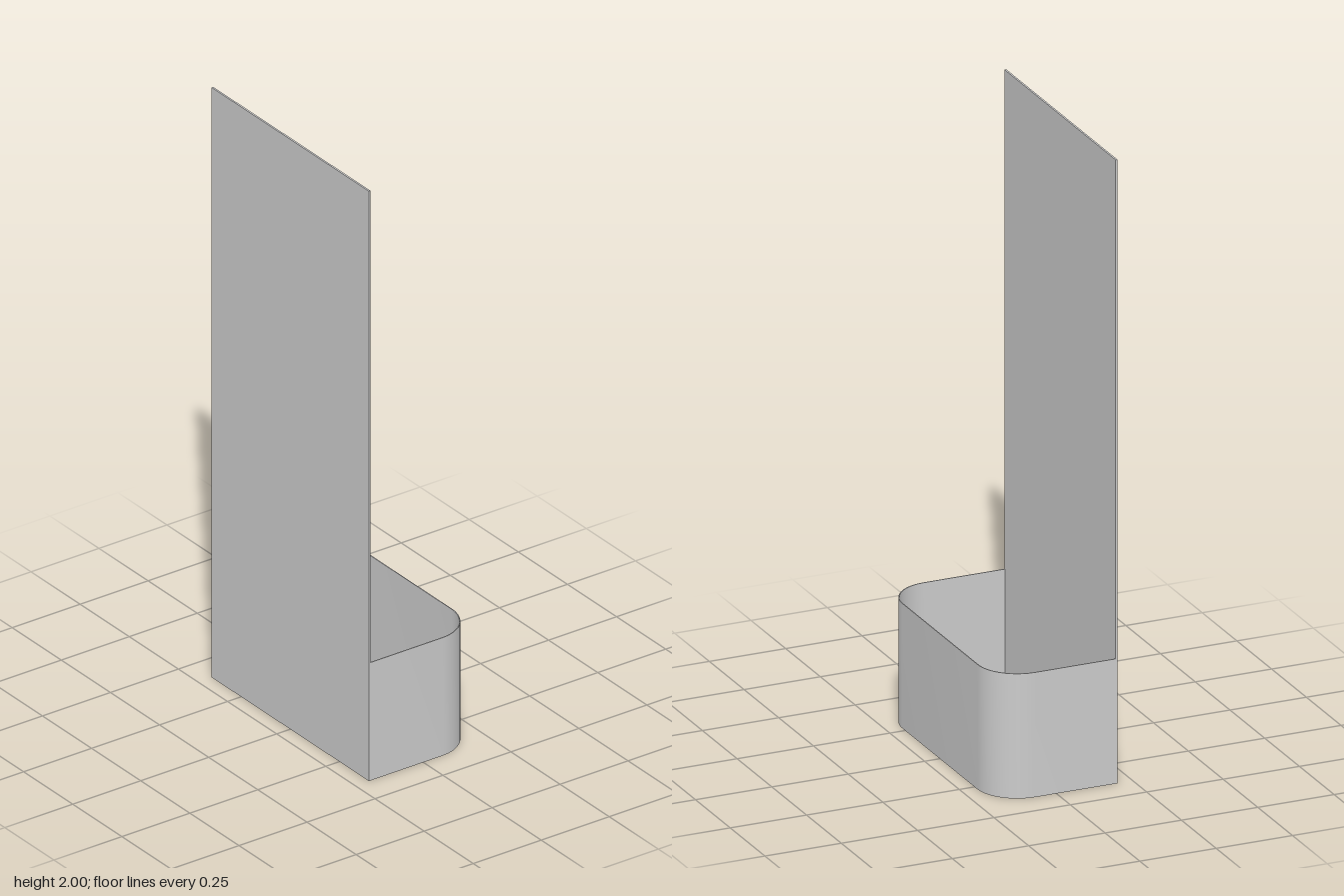
import * as THREE from 'three';
import { toCreasedNormals } from 'three/addons/utils/BufferGeometryUtils.js';

const W = 0.4, D = 0.2, R = 0.13;      // half width, half depth, corner radius
const PANEL = 0.006, WALL = 0.003;     // sheet thicknesses
const TRAY_HEIGHT = 0.4;

// Points around the U-shaped plan (shape y = -z), inset from the outside
function planPoints(inset) {
  const w = W - inset, back = D - inset, r = R - inset, front = -D + PANEL;
  const points = [new THREE.Vector2(w, front)];
  for (const side of [0, 1]) {
    for (let i = 0; i <= 16; i++) {
      const a = (side + i / 16) * Math.PI / 2;
      const cx = side ? -(w - r) : w - r;
      points.push(new THREE.Vector2(cx + r * Math.cos(a), back - r + r * Math.sin(a)));
    }
  }
  points.push(new THREE.Vector2(-w, front));
  return points;
}

// Upright extrusion of a plan outline
function extrudeUp(points, height) {
  const geometry = new THREE.ExtrudeGeometry(new THREE.Shape(points), { depth: height, bevelEnabled: false });
  geometry.rotateX(-Math.PI / 2);
  return toCreasedNormals(geometry, Math.PI / 6);
}

export function createModel() {
  const group = new THREE.Group();
  const material = new THREE.MeshStandardMaterial({ color: 0xcccccc });
  const add = (name, geometry) => {
    const mesh = new THREE.Mesh(geometry, material);
    mesh.name = name;
    group.add(mesh);
    return mesh;
  };

  // Tall flat sheet at the front
  add('frontPanel', new THREE.BoxGeometry(2 * W, 2, PANEL)).position.set(0, 1, D - PANEL / 2);

  // Thin wall running round the sides and back, open at the top
  add('trayWall', extrudeUp([...planPoints(0), ...planPoints(WALL).reverse()], TRAY_HEIGHT));

  // Floor closing the tray, fitted inside the wall
  add('trayFloor', extrudeUp(planPoints(WALL), WALL));

  return group;
}
